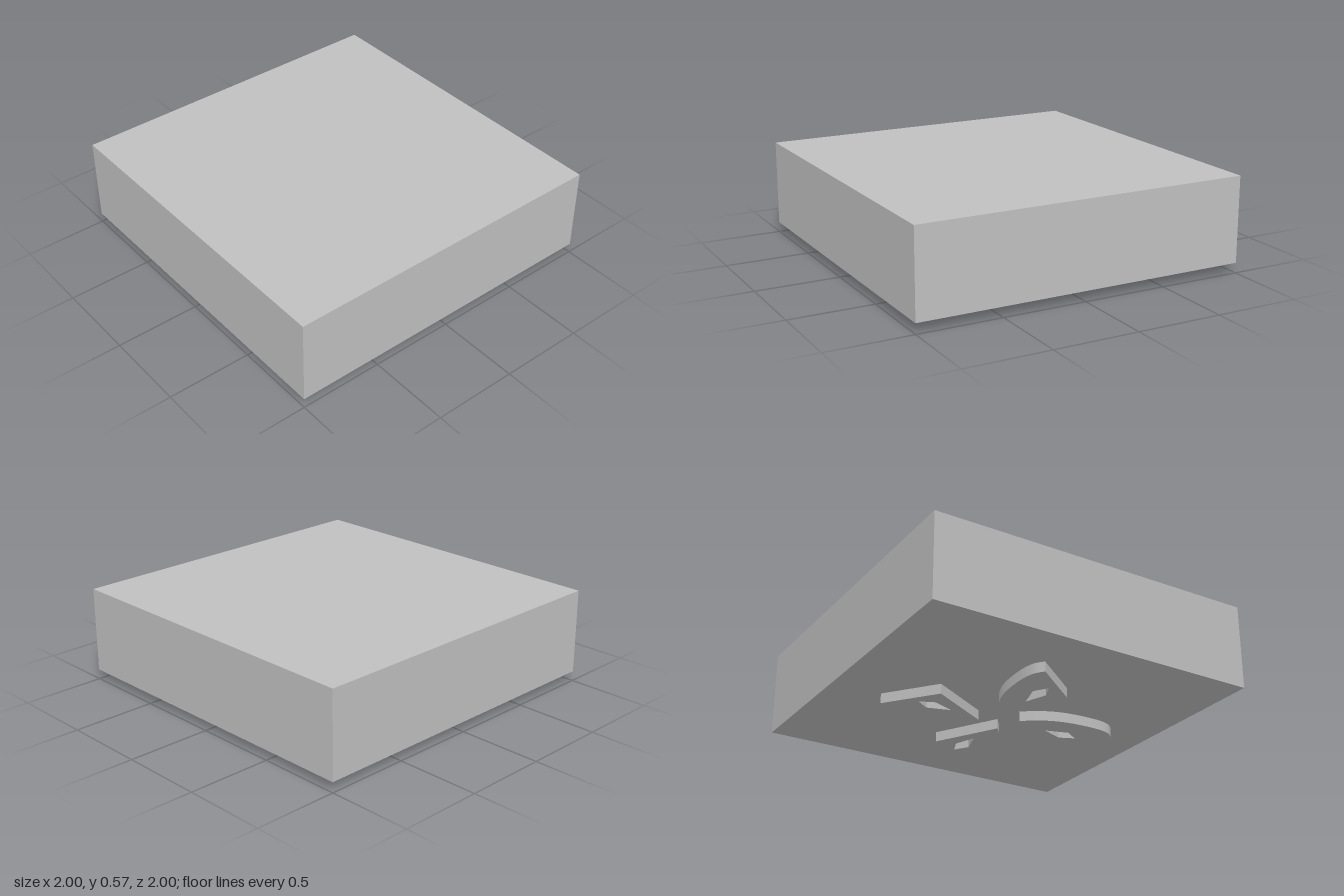
import * as THREE from 'three';

// Outline of one foot in plan (x, z): two straight edges and one bowed edge.
function footShape() {
  const shape = new THREE.Shape();
  shape.moveTo(-0.055, 0.105);
  shape.lineTo(0.155, 0.475);
  shape.lineTo(-0.14, 0.7);
  shape.splineThru([
    [-0.18, 0.64], [-0.195, 0.53], [-0.18, 0.35], [-0.13, 0.21], [-0.055, 0.105],
  ].map(([x, z]) => new THREE.Vector2(x, z)));

  // Small four-sided opening
  shape.holes.push(new THREE.Path([
    [-0.005, 0.53], [0.035, 0.44], [-0.015, 0.31], [-0.058, 0.45],
  ].map(([x, z]) => new THREE.Vector2(x, z))));
  return shape;
}

export function createModel() {
  const model = new THREE.Group();
  const grey = new THREE.MeshStandardMaterial({ color: 0xc0c0c0 });
  grey.name = 'grey';

  const footHeight = 0.06;
  const blockHeight = 0.51;

  // Solid square block
  const block = new THREE.Mesh(new THREE.BoxGeometry(2, blockHeight, 2), grey);
  block.name = 'block';
  block.position.y = footHeight + blockHeight / 2;
  model.add(block);

  // Four feet in a pinwheel under the block
  const footGeometry = new THREE.ExtrudeGeometry(footShape(), {
    depth: footHeight, bevelEnabled: false, curveSegments: 6,
  });
  footGeometry.rotateX(Math.PI / 2);
  footGeometry.translate(0, footHeight, 0);
  for (let i = 0; i < 4; i++) {
    const foot = new THREE.Mesh(footGeometry, grey);
    foot.name = `foot${i + 1}`;
    foot.rotation.y = (i * Math.PI) / 2;
    model.add(foot);
  }
  return model;
}
